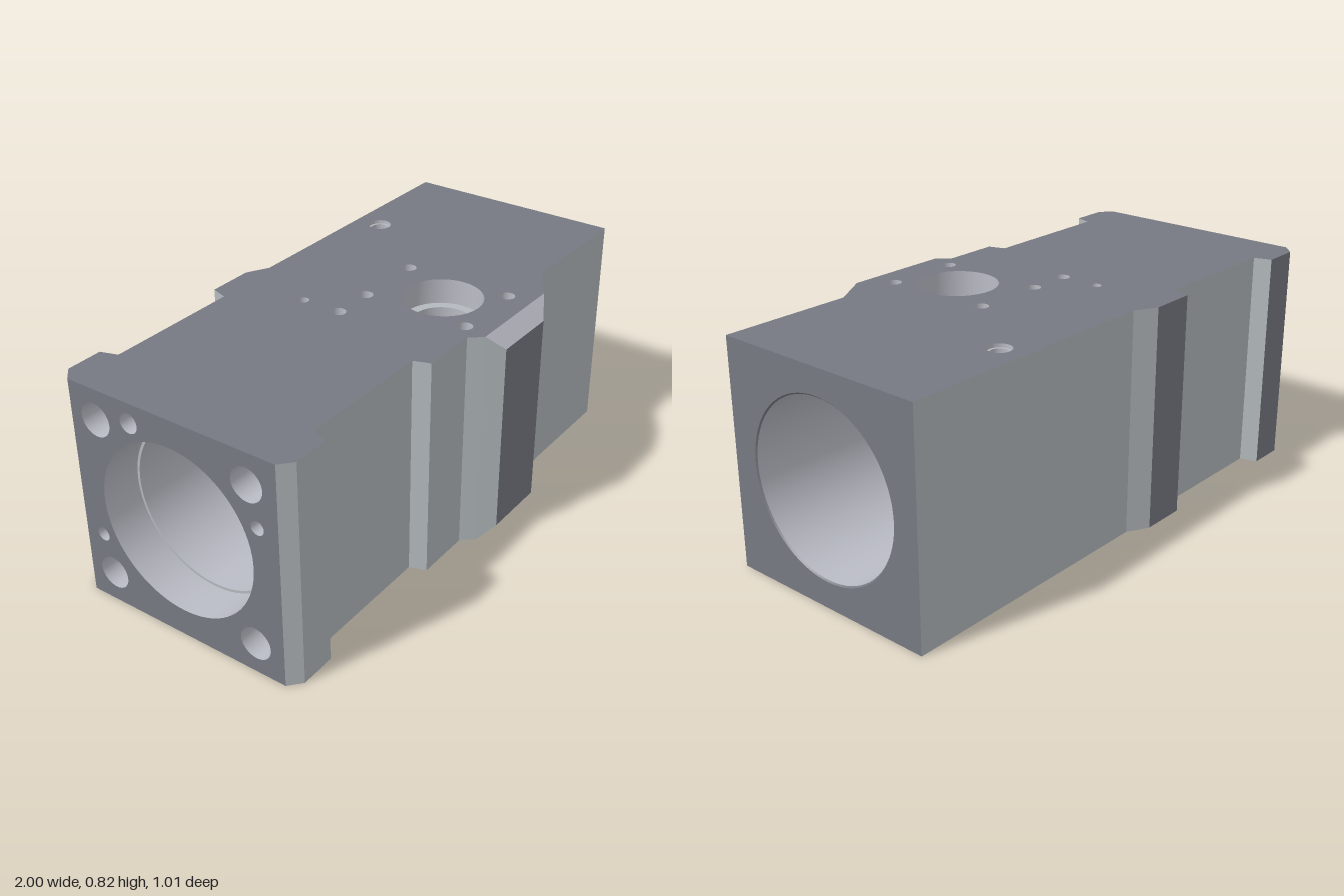
import * as THREE from 'three';

const H = 0.823, YC = 0.4125, ZC = -0.048, N = 96;
const R_MID = 0.2245, R_RIGHT = 0.311, R_LEFT = 0.31;

// Plan outline [x, z]; a third and fourth value give the chamfered position at top and bottom
const OUTLINE = [
  [-1, -0.46], [-0.955, -0.503], [-0.82, -0.503], [-0.8, -0.44], [-0.29, -0.44], [-0.27, -0.503],
  [-0.1, -0.503], [-0.02, -0.46], [1, -0.46], [1, 0.365], [0.51, 0.365], [0.37, 0.45],
  [0.28, 0.503, 0.37, 0.45], [0.03, 0.503, -0.02, 0.45], [-0.02, 0.45], [-0.06, 0.405],
  [-0.27, 0.405], [-0.29, 0.345], [-0.8, 0.345], [-0.82, 0.405], [-0.955, 0.405], [-1, 0.365],
];
const BACK_PADS = [1, 5], BOSS = 12; // outline edges

// Vertical holes
const PINION = { x: 0.142, z: 0.18, r: 0.108, rTop: 0.143, ledge: 0.73 };
const CROSS = { x: 0.53, z: -0.36, r: 0.033, rTop: 0.042, ledge: 0.81 };
const TOP_SCREWS = [[-0.153, -0.2, 0.02], [-0.153, -0.049, 0.027], [0.005, -0.049, 0.027],
  [0.273, -0.049, 0.027], [0.005, 0.357, 0.027], [0.28, 0.357, 0.027]];
// Holes of the left end face [y, z, r, depth]
const END_HOLES = [[0.75, -0.21, 0.036, 0.12], [0.57, 0.285, 0.025, 0.12], [0.26, -0.385, 0.025, 0.12]];
for (const y of [0.115, 0.71]) for (const z of [-0.355, 0.252]) END_HOLES.push([y, z, 0.06, 0.25]);

const paint = color => new THREE.MeshStandardMaterial({ color });
const DARK = paint(0x777982), LIGHT = paint(0xb3b9bd), PALE = paint(0xbabcc5);

// Smooth closed band between two loops, each a function of the angle
function loft(a, b) {
  const pos = [], idx = [];
  for (let i = 0; i < N; i++) {
    const t = (i / N) * Math.PI * 2;
    pos.push(...a(t), ...b(t));
    const p = 2 * i, q = 2 * ((i + 1) % N);
    idx.push(p, p + 1, q, q, p + 1, q + 1);
  }
  const g = new THREE.BufferGeometry();
  g.setAttribute('position', new THREE.Float32BufferAttribute(pos, 3));
  g.setIndex(idx);
  g.computeVertexNormals();
  return g;
}
const ringY = (x, z, r, y) => t => [x + r * Math.cos(t), y, z + r * Math.sin(t)];
const ringX = (y, z, r, x) => t => [x, y + r * Math.cos(t), z + r * Math.sin(t)];
const boreRing = (r, x) => ringX(YC, ZC, r, x);

// Loop on the bore wall along one side of a vertical hole crossing it
const cutRing = (R, h, side) => t => {
  const z = ZC + R * Math.sin(t);
  const w = Math.sqrt(Math.max(0, h.r ** 2 - (z - h.z) ** 2));
  return [h.x + side * w, YC + R * Math.cos(t), z];
};
// Loop of a vertical hole where it breaks into the bore
const breakRing = (h, R, side) => t => {
  const z = h.z + h.r * Math.sin(t);
  return [h.x + h.r * Math.cos(t), YC + side * Math.sqrt(Math.max(0, R * R - (z - ZC) ** 2)), z];
};

// Flat face with round holes [u, v, r]
function plate(points, holes) {
  const s = new THREE.Shape(points.map(p => new THREE.Vector2(...p)));
  for (const [u, v, r] of holes) s.holes.push(new THREE.Path().absarc(u, v, r, 0, Math.PI * 2, true));
  return new THREE.ShapeGeometry(s, N / 2);
}

// Side panels chosen by outline edge and level; the two end faces are left out
function sidePanels(wanted) {
  const pos = [];
  const levels = [0, 0.055, 0.77, H];
  const at = (p, k) => (p.length > 2 && (k === 0 || k === 3)) ? [p[2], levels[k], p[3]] : [p[0], levels[k], p[1]];
  OUTLINE.forEach((p, i) => {
    const q = OUTLINE[(i + 1) % OUTLINE.length];
    if (p[0] === q[0] && Math.abs(p[0]) === 1) return;
    for (let k = 0; k < 3; k++) {
      if (!wanted(i, k)) continue;
      const a = at(p, k), b = at(q, k), c = at(q, k + 1), d = at(p, k + 1);
      for (const tri of [[a, d, b], [b, d, c]]) {
        const [u, v, w] = tri.map(m => new THREE.Vector3(...m));
        if (v.sub(u).cross(w.sub(u)).length() > 1e-7) pos.push(...tri.flat());
      }
    }
  });
  const g = new THREE.BufferGeometry();
  g.setAttribute('position', new THREE.Float32BufferAttribute(pos, 3));
  g.computeVertexNormals();
  return g;
}

export function createModel() {
  const model = new THREE.Group();
  model.name = 'housingBlock';
  const group = name => { const g = new THREE.Group(); g.name = name; model.add(g); return g; };
  const add = (parent, name, geo, mat) => {
    const m = new THREE.Mesh(geo, mat);
    m.name = name;
    parent.add(m);
  };

  // Side faces
  const body = group('body');
  add(body, 'sideWalls', sidePanels(i => i !== BOSS && !BACK_PADS.includes(i)), LIGHT);
  add(body, 'backPads', sidePanels(i => BACK_PADS.includes(i)), DARK);
  add(body, 'bossFace', sidePanels((i, k) => i === BOSS && k === 1), DARK);
  add(body, 'bossChamfers', sidePanels((i, k) => i === BOSS && k !== 1), PALE);

  // Top, bottom and end faces
  const cap = OUTLINE.filter(p => p.length === 2);
  const topHoles = [...[PINION, CROSS].map(h => [h.x, h.z, h.rTop]), ...TOP_SCREWS];
  add(body, 'topFace', plate(cap.map(([x, z]) => [x, -z]), topHoles.map(([x, z, r]) => [x, -z, r]))
    .rotateX(-Math.PI / 2).translate(0, H, 0), DARK);
  add(body, 'bottomFace', plate(cap, [PINION, CROSS].map(h => [h.x, h.z, h.r])).rotateX(Math.PI / 2), DARK);
  const end = [[-0.46, 0], [0.365, 0], [0.365, H], [-0.46, H]];
  add(body, 'rightEndFace', plate(end.map(([z, y]) => [-z, y]), [[-ZC, YC, R_RIGHT + 0.005]])
    .rotateY(Math.PI / 2).translate(1, 0, 0), DARK);
  add(body, 'leftEndFace', plate(end, [[ZC, YC, R_LEFT], ...END_HOLES.map(([y, z, r]) => [z, y, r])])
    .rotateY(-Math.PI / 2).translate(-1, 0, 0), DARK);

  // Stepped main bore, left to right, opened where the vertical holes cross it
  const bore = group('mainBore');
  const bands = [
    [boreRing(R_LEFT, -1), boreRing(R_LEFT, -0.85), PALE],
    [boreRing(R_LEFT, -0.85), boreRing(0.3, -0.85), LIGHT],
    [boreRing(0.3, -0.85), boreRing(0.3, -0.5), PALE],
    [boreRing(0.3, -0.5), boreRing(R_MID, -0.5), LIGHT],
    [boreRing(R_MID, -0.5), cutRing(R_MID, PINION, -1), PALE],
    [cutRing(R_MID, PINION, 1), boreRing(R_MID, 0.485), PALE],
    [boreRing(R_MID, 0.485), boreRing(R_MID + 0.005, 0.49), DARK],
    [boreRing(R_MID + 0.005, 0.49), boreRing(R_RIGHT, 0.49), LIGHT],
    [boreRing(R_RIGHT, 0.49), cutRing(R_RIGHT, CROSS, -1), PALE],
    [cutRing(R_RIGHT, CROSS, 1), boreRing(R_RIGHT, 0.995), PALE],
    [boreRing(R_RIGHT, 0.995), boreRing(R_RIGHT + 0.005, 1), DARK],
  ];
  bands.forEach(([a, b, mat], i) => add(bore, 'boreStep' + (i + 1), loft(a, b), mat));

  // Counterbored vertical holes, broken by the main bore
  for (const [name, h, R] of [['pinionHole', PINION, R_MID], ['crossHole', CROSS, R_RIGHT]]) {
    const g = group(name);
    add(g, 'counterbore', loft(ringY(h.x, h.z, h.rTop, H), ringY(h.x, h.z, h.rTop, h.ledge)), PALE);
    add(g, 'ledge', loft(ringY(h.x, h.z, h.rTop, h.ledge), ringY(h.x, h.z, h.r, h.ledge)), LIGHT);
    add(g, 'upperWall', loft(ringY(h.x, h.z, h.r, h.ledge), breakRing(h, R, 1)), PALE);
    add(g, 'lowerWall', loft(breakRing(h, R, -1), ringY(h.x, h.z, h.r, 0)), PALE);
  }

  // Blind screw holes in the top
  const screws = group('topScrewHoles');
  for (const [x, z, r] of TOP_SCREWS) {
    add(screws, 'screwHoleWall', loft(ringY(x, z, r, H), ringY(x, z, r, H - 0.12)), PALE);
    add(screws, 'screwHoleFloor', loft(ringY(x, z, r, H - 0.12), ringY(x, z, 0, H - 0.12)), LIGHT);
  }

  // Blind bolt and pin holes in the left end
  const bolts = group('endBoltHoles');
  for (const [y, z, r, depth] of END_HOLES) {
    add(bolts, 'boltHoleWall', loft(ringX(y, z, r, -1), ringX(y, z, r, depth - 1)), PALE);
    add(bolts, 'boltHoleFloor', loft(ringX(y, z, r, depth - 1), ringX(y, z, 0, depth - 1)), LIGHT);
  }
  return model;
}
